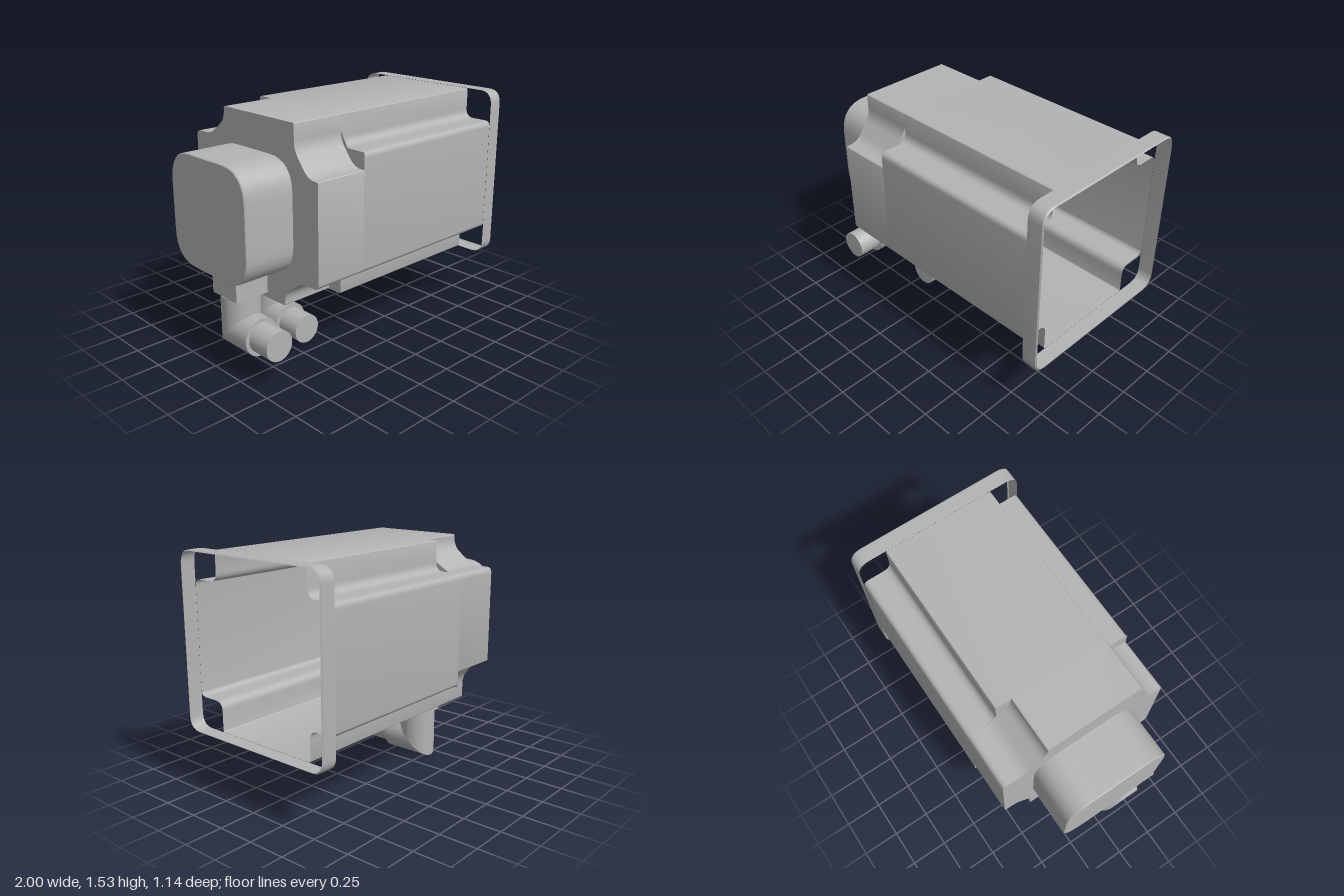
import * as THREE from 'three';
import { toCreasedNormals } from 'three/addons/utils/BufferGeometryUtils.js';

const grey = new THREE.MeshStandardMaterial({ color: 0xb4b4b4, side: THREE.DoubleSide });
grey.name = 'housing grey';

const AXIS_Y = 0.965;

// Closed outline from corners [u, v, fillet length]
function outline(corners) {
  const pts = [];
  const n = corners.length;
  corners.forEach(([u, v, r], i) => {
    const p = new THREE.Vector2(u, v);
    if (!r) return pts.push(p);
    const toward = ([a, b]) => p.clone().add(new THREE.Vector2(a - u, b - v).setLength(r));
    const curve = new THREE.QuadraticBezierCurve(
      toward(corners[(i + n - 1) % n]), p, toward(corners[(i + 1) % n]));
    pts.push(...curve.getPoints(8));
  });
  return pts;
}

function mesh(name, geometry) {
  const m = new THREE.Mesh(geometry, grey);
  m.name = name;
  return m;
}

// Open wall lofted along x through stations [x, scale]; u maps to -z
function wall(name, pts, stations) {
  const pos = [];
  const at = (p, [x, s]) => [x, AXIS_Y + p.y * s, -p.x * s];
  for (let k = 0; k < stations.length - 1; k++) {
    for (let i = 0; i < pts.length; i++) {
      const p = pts[i], q = pts[(i + 1) % pts.length];
      const a = at(p, stations[k]), b = at(q, stations[k]);
      const c = at(q, stations[k + 1]), d = at(p, stations[k + 1]);
      pos.push(...a, ...c, ...b, ...a, ...d, ...c);
    }
  }
  const g = new THREE.BufferGeometry();
  g.setAttribute('position', new THREE.Float32BufferAttribute(pos, 3));
  // reverse winding so normals point outward
  for (let i = 0; i < pos.length; i += 9) {
    for (let j = 0; j < 3; j++) {
      const t = g.attributes.position.array;
      [t[i + 3 + j], t[i + 6 + j]] = [t[i + 6 + j], t[i + 3 + j]];
    }
  }
  return mesh(name, toCreasedNormals(g, 0.7));
}

// Flat plate facing -x
function plate(name, pts, x, hole) {
  const shape = new THREE.Shape(pts);
  if (hole) shape.holes.push(new THREE.Path(hole));
  const g = new THREE.ShapeGeometry(shape);
  g.rotateY(Math.PI / 2);
  g.translate(x, AXIS_Y, 0);
  const index = Array.from(g.index.array).reverse();
  g.setIndex(index);
  g.computeVertexNormals();
  return mesh(name, g);
}

const turn = (corners, k) => corners.map(([u, v, r]) => {
  for (let i = 0; i < k; i++) [u, v] = [-v, u];
  return [u, v, r];
});

// Cross-shaped profile: the notch repeats around the four corners
function crossProfile(wide) {
  const all = [];
  for (let k = 0; k < 4; k++) {
    const [ra, rb] = k % 2 ? [0.012, 0.04] : [0.04, 0.012];
    const notch = wide
      ? [[0.57, 0.375, ra], [0.42, 0.375, 0.05], [0.27, 0.49, 0.06], [0.27, 0.57, 0.01]]
      : [[0.57, 0.375, ra], [0.375, 0.375, 0.06], [0.375, 0.57, rb]];
    all.push(...turn(notch, k));
  }
  return outline(all);
}

const square = (h, r) => outline([[h, -h, r], [h, h, r], [-h, h, r], [-h, -h, r]]);

// Right-angle plug: mitred elbow with a narrower barrel towards +z
function connector(x, axisY, zc, top, blockTop) {
  const group = new THREE.Group();
  group.name = 'connector';
  const R = 0.12;

  const upright = new THREE.CylinderGeometry(R, R, 1, 40);
  const p = upright.attributes.position;
  for (let i = 0; i < p.count; i++) p.setY(i, p.getY(i) > 0 ? top : axisY + p.getZ(i));
  upright.translate(x, 0, zc);
  group.add(mesh('elbowUpright', upright));

  const arm = new THREE.CylinderGeometry(R, R, 1, 40).rotateX(Math.PI / 2);
  const q = arm.attributes.position;
  for (let i = 0; i < q.count; i++) q.setZ(i, q.getZ(i) > 0 ? zc + 0.195 : zc + q.getY(i));
  arm.translate(x, axisY, 0);
  group.add(mesh('elbowArm', arm));

  const barrel = new THREE.CylinderGeometry(0.095, 0.095, 0.16, 40).rotateX(Math.PI / 2);
  barrel.translate(x, axisY, zc + 0.275);
  group.add(mesh('barrel', barrel));

  const block = new THREE.BoxGeometry(0.23, blockTop - top, 0.23);
  block.translate(x, (blockTop + top) / 2, zc);
  group.add(mesh('mountingBlock', block));
  return group;
}

export function createModel() {
  const model = new THREE.Group();
  model.name = 'motor';
  const narrow = crossProfile(false), wide = crossProfile(true);
  const capOutline = square(0.355, 0.2);

  // Hollow body, deeper notches at the rear
  model.add(wall('bodyFront', narrow, [[-0.3, 1], [0.89, 1]]));
  model.add(wall('bodyRear', wide, [[-0.66, 1], [-0.3, 1]]));
  model.add(plate('rearWall', wide, -0.66, capOutline));

  // Steps where the notches deepen
  const step = [[0.47, 0.375, 0], [0.375, 0.375, 0.06], [0.375, 0.57, 0.012],
    [0.27, 0.57, 0.01], [0.27, 0.49, 0.06], [0.42, 0.375, 0.05]];
  for (let k = 0; k < 4; k++) model.add(plate('notchStep', outline(turn(step, k)), -0.3));

  // Open square frame at the drive end
  model.add(wall('frontFrame', square(0.571, 0.09), [[0.89, 1], [0.988, 1], [0.996, 0.988]]));

  // Rear cap
  model.add(wall('rearCap', capOutline, [[-1, 0.985], [-0.994, 1], [-0.66, 1]]));
  model.add(plate('rearCapEnd', capOutline.map((p) => p.clone().multiplyScalar(0.985)), -1));

  // Plugs under the cap and under the body
  model.add(connector(-0.87, 0.275, 0.11, 0.5, 0.62));
  model.add(connector(-0.42, 0.125, -0.163, 0.35, 0.4));
  return model;
}
